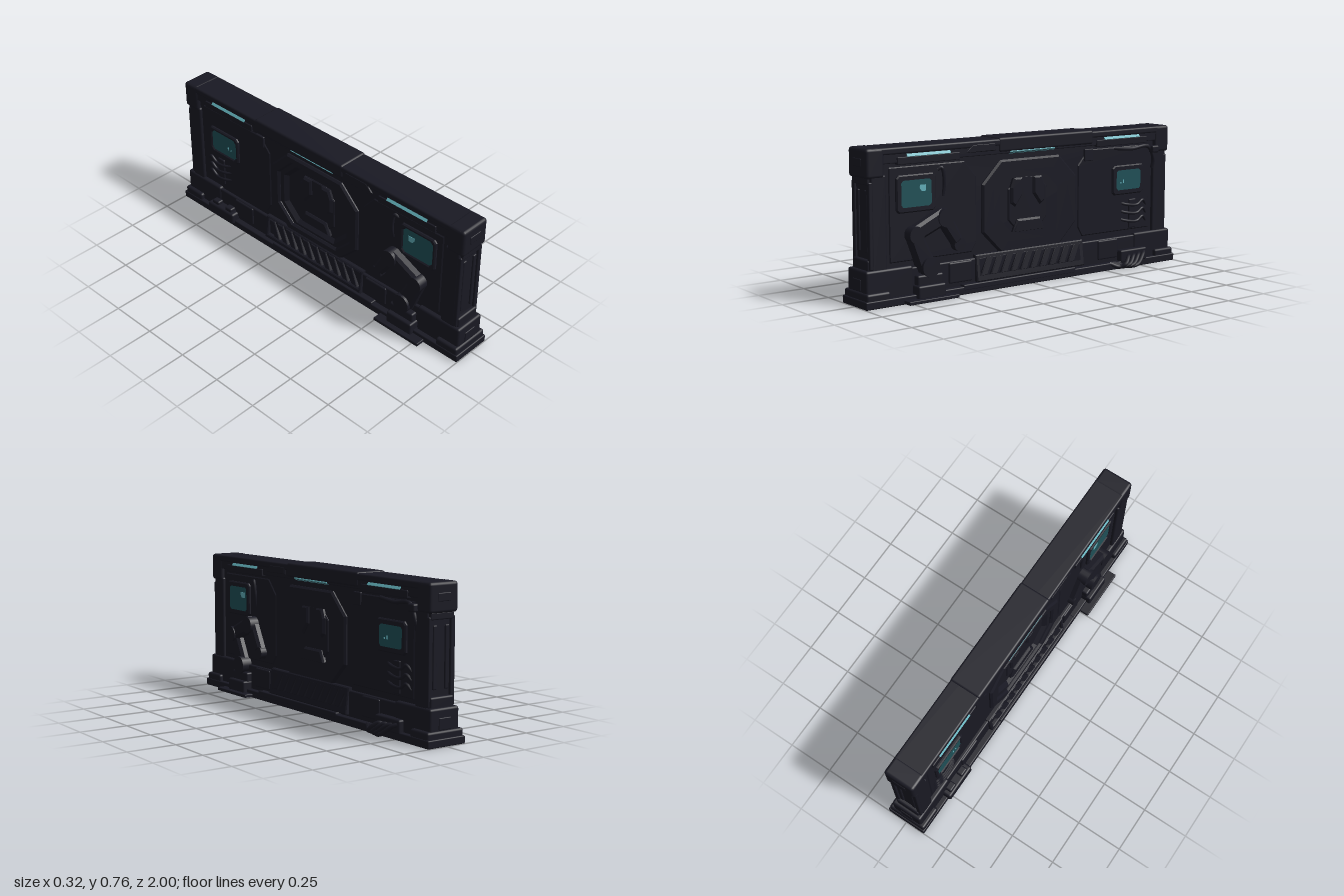
import * as THREE from 'three';
import { RoundedBoxGeometry } from 'three/addons/geometries/RoundedBoxGeometry.js';

export function createModel() {
  const root = new THREE.Group();
  root.name = 'wallPanel';
  const mat = (name, color) => {
    const m = new THREE.MeshStandardMaterial({ color });
    m.name = name;
    return m;
  };
  const metal = mat('darkMetal', 0x191923);
  const screenMat = mat('screenTeal', 0x1f5057);
  const glow = mat('lightCyan', 0x62b0ba);

  const add = (name, geo, m = metal) => {
    const mesh = new THREE.Mesh(geo, m);
    mesh.name = name;
    root.add(mesh);
    return mesh;
  };
  // Softened block given by its limits on each axis
  const block = (name, x0, x1, y0, y1, z0, z1, r = 0.008, m = metal) => {
    const g = r ? new RoundedBoxGeometry(x1 - x0, y1 - y0, z1 - z0, 2, r)
      : new THREE.BoxGeometry(x1 - x0, y1 - y0, z1 - z0);
    g.translate((x0 + x1) / 2, (y0 + y1) / 2, (z0 + z1) / 2);
    return add(name, g, m);
  };
  // The same block on side s (+1 or -1)
  const sideBlock = (s, name, x0, x1, ...rest) =>
    block(name, s > 0 ? x0 : -x1, s > 0 ? x1 : -x0, ...rest);
  // Outline of [z, y] points extruded outwards from x0 to x1 on side s; lean pushes the foot outwards
  const plate = (s, name, pts, x0, x1, { hole, bevel = 0.005, lean = 0, m = metal } = {}) => {
    const v = (p) => p.map(([z, y]) => new THREE.Vector2(-s * z, y));
    const shape = new THREE.Shape(v(pts));
    if (hole) shape.holes.push(new THREE.Path(v(hole)));
    const g = new THREE.ExtrudeGeometry(shape, {
      depth: x1 - x0 - bevel, bevelEnabled: bevel > 0, bevelThickness: bevel,
      bevelSize: bevel, bevelOffset: -bevel, bevelSegments: 1,
    });
    g.translate(0, 0, x0);
    if (lean) g.applyMatrix4(new THREE.Matrix4().set(1, 0, 0, 0, 0, 1, 0, 0, 0, -lean, 1, lean * 0.18, 0, 0, 0, 1));
    g.rotateY(s * Math.PI / 2);
    return add(name, g, m);
  };
  const octagon = (w, h, cut, cz = -0.005, cy = 0.412) => [
    [-w, -h + cut], [-w + cut, -h], [w - cut, -h], [w, -h + cut],
    [w, h - cut], [w - cut, h], [-w + cut, h], [-w, h - cut],
  ].map(([z, y]) => [z + cz, y + cy]);
  const beam = (s, name, [z0, y0], [z1, y1], w0, w1, x0, x1) => {
    const l = Math.hypot(z1 - z0, y1 - y0), nz = -(y1 - y0) / l, ny = (z1 - z0) / l;
    plate(s, name, [
      [z0 + nz * w0, y0 + ny * w0], [z1 + nz * w1, y1 + ny * w1],
      [z1 - nz * w1, y1 - ny * w1], [z0 - nz * w0, y0 - ny * w0],
    ], x0, x1, { bevel: 0.014 });
  };
  const joint = (s, name, z, y, r, x0, x1) => {
    const g = new THREE.CylinderGeometry(r, r, x1 - x0, 20);
    g.rotateZ(Math.PI / 2);
    g.translate(s * (x0 + x1) / 2, y, z);
    add(name, g);
  };
  const cable = (s, name, pts, r = 0.009) => {
    const c = new THREE.CatmullRomCurve3(pts.map(([x, y, z]) => new THREE.Vector3(s * x, y, z)));
    add(name, new THREE.TubeGeometry(c, 28, r, 8));
  };
  const strip = (s, z0, z1, y, x, tilt) => {
    const g = new THREE.BoxGeometry(0.004, 0.017, z1 - z0);
    g.rotateZ(s * tilt);
    g.translate(s * x, y, (z0 + z1) / 2);
    add('lightStrip', g, glow);
  };

  // Core floor behind the hatches, floor skirt, base and stepped top rail
  block('wallCore', -0.046, 0.046, 0.03, 0.72, -0.925, 0.925, 0);
  block('floorSkirt', -0.112, 0.112, 0, 0.04, -1, 1, 0.006);
  block('baseBody', -0.08, 0.08, 0.02, 0.17, -0.95, 0.95);
  block('topRail', -0.084, 0.084, 0.722, 0.757, -0.95, 0.95, 0.01);
  block('topRailBody', -0.079, 0.079, 0.68, 0.735, -0.95, 0.95, 0.005);
  block('topRailCentre', -0.086, 0.086, 0.69, 0.763, -0.42, 0.2, 0.012);

  // Both end posts
  for (const e of [-1, 1]) {
    const end = (name, w, y0, y1, a, b, r) =>
      block(name, -w, w, y0, y1, Math.min(e * a, e * b), Math.max(e * a, e * b), r);
    end('endCap', 0.085, 0.615, 0.759, 0.87, 0.97, 0.016);
    end('endPost', 0.08, 0.15, 0.63, 0.86, 0.945, 0.01);
    end('endBase', 0.087, 0.03, 0.18, 0.72, 0.983, 0.012);
    end('endFoot', 0.108, 0.02, 0.075, 0.86, 0.992, 0.012);
    end('capBadge', 0.038, 0.67, 0.71, 0.96, 0.973, 0.004);
    end('baseBadge', 0.036, 0.077, 0.135, 0.97, 0.987, 0.004);
    end('postLintel', 0.07, 0.585, 0.62, 0.92, 0.96, 0.006);
    end('postSill', 0.07, 0.17, 0.23, 0.92, 0.965, 0.01);
    for (const x of [-1, 1]) {
      const ridge = (name, cx, w, y0, y1, z) =>
        block(name, x * cx - w, x * cx + w, y0, y1, e > 0 ? 0.92 : -z, e > 0 ? z : -0.92, 0.006);
      ridge('postRidge', 0.036, 0.012, 0.26, 0.56, 0.953);
      ridge('postFlange', 0.066, 0.013, 0.18, 0.6, 0.957);
    }
  }

  for (const s of [1, -1]) {
    // Wall skin with an octagonal opening, and the sloping hatch
    plate(s, 'wallSkin', [[-0.925, 0.03], [0.925, 0.03], [0.925, 0.72], [-0.925, 0.72]], 0.04, 0.063,
      { hole: octagon(0.25, 0.19, 0.095), bevel: 0 });
    plate(s, 'hatchRing', octagon(0.305, 0.237, 0.115), 0.055, 0.08, { hole: octagon(0.25, 0.19, 0.095), bevel: 0.01 });
    plate(s, 'hatchSlope', octagon(0.285, 0.22, 0.105), 0.04, 0.066, { hole: octagon(0.205, 0.158, 0.08), bevel: 0.02 });
    plate(s, 'hatchHub', octagon(0.125, 0.14, 0.06), 0.04, 0.054);
    for (const d of [-1, 1]) {
      plate(s, 'hatchPad', [[0.035, 0.55], [0.09, 0.55], [0.11, 0.5], [0.11, 0.42], [0.08, 0.4], [0.035, 0.46]]
        .map(([z, y]) => [d * z, y]), 0.04, 0.068, { bevel: 0.01 });
    }
    plate(s, 'hatchLowerPad', [[-0.11, 0.265], [0.1, 0.265], [0.07, 0.335], [-0.08, 0.335]], 0.04, 0.068, { bevel: 0.01 });

    // Raised wall panels around the hatch
    for (const d of [-1, 1]) {
      plate(s, 'wallPanel', [[0.36, 0.2], [0.84, 0.2], [0.84, 0.66], [0.4, 0.66], [0.33, 0.58], [0.33, 0.25]]
        .map(([z, y]) => [d * z, y]), 0.055, 0.068);
    }
    sideBlock(s, 'smallHatch', 0.055, 0.075, 0.6, 0.665, -0.43, -0.37, 0.005);

    // Leaning hazard panel with slanted bars
    plate(s, 'hazardFrame', [[-0.35, 0.05], [0.35, 0.05], [0.35, 0.185], [-0.35, 0.185]], 0.06, 0.086,
      { hole: [[-0.33, 0.075], [0.335, 0.075], [0.335, 0.172], [-0.33, 0.172]], lean: 0.13 });
    for (let i = 0; i < 10; i++) {
      const z = 0.285 - i * 0.063;
      plate(s, 'hazardBar', [[z, 0.078], [z + 0.04, 0.078], [z - 0.008, 0.17], [z - 0.048, 0.17]],
        0.06, 0.085, { bevel: 0.004, lean: 0.13 });
    }
    sideBlock(s, 'kickPlate', 0.07, 0.113, 0.02, 0.05, -0.28, 0.44, 0.006);
    for (const z of [-0.53, 0.44]) sideBlock(s, 'baseBox', 0.07, 0.088, 0.06, 0.165, z - 0.07, z + 0.07);

    // Rail lips with upward light strips, and a downward strip under the centre
    for (const z of [-0.625, 0.62]) {
      sideBlock(s, 'lightLip', 0.06, 0.086, 0.672, 0.709, z - 0.18, z + 0.18, 0.004);
      strip(s, z - 0.125, z + 0.125, 0.715, 0.082, 0.7);
    }
    strip(s, -0.16, 0.13, 0.685, 0.078, -0.8);
    plate(s, 'railBracket', [[0.22, 0.7], [0.4, 0.7], [0.36, 0.74], [0.22, 0.74]], 0.07, 0.086);

    // Screens in frames
    const screen = (z0, z1, y0, y1) => {
      const rect = (o) => [[z0 - o, y0 - o + 0.015], [z0 - o + 0.015, y0 - o], [z1 + o - 0.015, y0 - o], [z1 + o, y0 - o + 0.015],
        [z1 + o, y1 + o - 0.015], [z1 + o - 0.015, y1 + o], [z0 - o + 0.015, y1 + o], [z0 - o, y1 + o - 0.015]];
      plate(s, 'screenFrame', rect(0.02), 0.055, 0.082, { hole: rect(0), bevel: 0.006 });
      plate(s, 'screen', rect(0.004), 0.069, 0.076, { bevel: 0, m: screenMat });
    };
    screen(0.6, 0.785, 0.457, 0.6);
    screen(-0.77, -0.585, 0.42, 0.54);
    plate(s, 'screenReadout', [[0.635, 0.535], [0.66, 0.535], [0.672, 0.55], [0.67, 0.566], [0.635, 0.566]],
      0.075, 0.078, { bevel: 0, m: glow });
    for (const [z, h] of [[-0.625, 0.008], [-0.645, 0.018]])
      sideBlock(s, 'screenMark', 0.075, 0.078, 0.462, 0.462 + h, z - 0.004, z + 0.004, 0, glow);

    // Robot arm on its stepped foot
    sideBlock(s, 'armFloorPlate', 0.08, 0.162, 0.004, 0.022, 0.5, 0.79, 0.004);
    sideBlock(s, 'armFoot', 0.07, 0.135, 0.015, 0.083, 0.56, 0.72, 0.01);
    sideBlock(s, 'armPedestal', 0.07, 0.112, 0.075, 0.13, 0.56, 0.71, 0.01);
    joint(s, 'armBaseJoint', 0.635, 0.165, 0.05, 0.06, 0.12);
    beam(s, 'armLower', [0.64, 0.16], [0.715, 0.33], 0.05, 0.04, 0.055, 0.106);
    beam(s, 'armUpper', [0.715, 0.33], [0.545, 0.405], 0.038, 0.042, 0.055, 0.114);
    beam(s, 'armFore', [0.545, 0.405], [0.46, 0.265], 0.04, 0.03, 0.055, 0.108);
    joint(s, 'armElbow', 0.715, 0.33, 0.042, 0.055, 0.12);
    joint(s, 'armShoulder', 0.545, 0.398, 0.046, 0.055, 0.121);
    joint(s, 'armWrist', 0.455, 0.255, 0.034, 0.055, 0.104);

    // Pipes on the wall
    cable(s, 'frontPipe', [[0.064, 0.63, 0.56], [0.072, 0.64, 0.54], [0.072, 0.57, 0.525], [0.064, 0.5, 0.53]]);
    for (let i = 0; i < 3; i++) {
      const y = 0.35 - i * 0.045;
      cable(s, 'wallCable', [[0.062, y, -0.64], [0.074, y - 0.01, -0.68], [0.074, y - 0.015, -0.75], [0.074, y + 0.008, -0.79], [0.062, y - 0.02, -0.82]], 0.008);
    }
    sideBlock(s, 'cableBox', 0.055, 0.076, 0.21, 0.37, -0.74, -0.69, 0.006);
  }

  // Right hand details: corner pipe, upper valve and loose floor cables
  cable(1, 'cornerPipe', [[0.066, 0.655, -0.58], [0.074, 0.645, -0.7], [0.08, 0.65, -0.82], [0.08, 0.58, -0.86], [0.07, 0.53, -0.86]], 0.01);
  block('upperValve', 0.07, 0.108, 0.615, 0.655, -0.88, -0.83, 0.01);
  block('cableSocket', 0.07, 0.115, 0.03, 0.1, -0.79, -0.6, 0.01);
  for (let i = 0; i < 4; i++) {
    const o = i * 0.035;
    cable(1, 'floorCable', [[0.1, 0.08 - i * 0.008, -0.78 + o], [0.125, 0.065, -0.75 + o], [0.147, 0.02 + i * 0.004, -0.69 + o * 0.8],
      [0.13, 0.016, -0.62 + o * 0.4], [0.1, 0.035, -0.56 + o * 0.3]], 0.011);
  }
  // Left hand junction box
  block('junctionBox', -0.13, -0.07, 0.02, 0.085, -0.78, -0.58, 0.012);
  for (const z of [-0.73, -0.63]) block('junctionLug', -0.118, -0.08, 0.07, 0.105, z - 0.025, z + 0.025, 0.008);

  return root;
}
